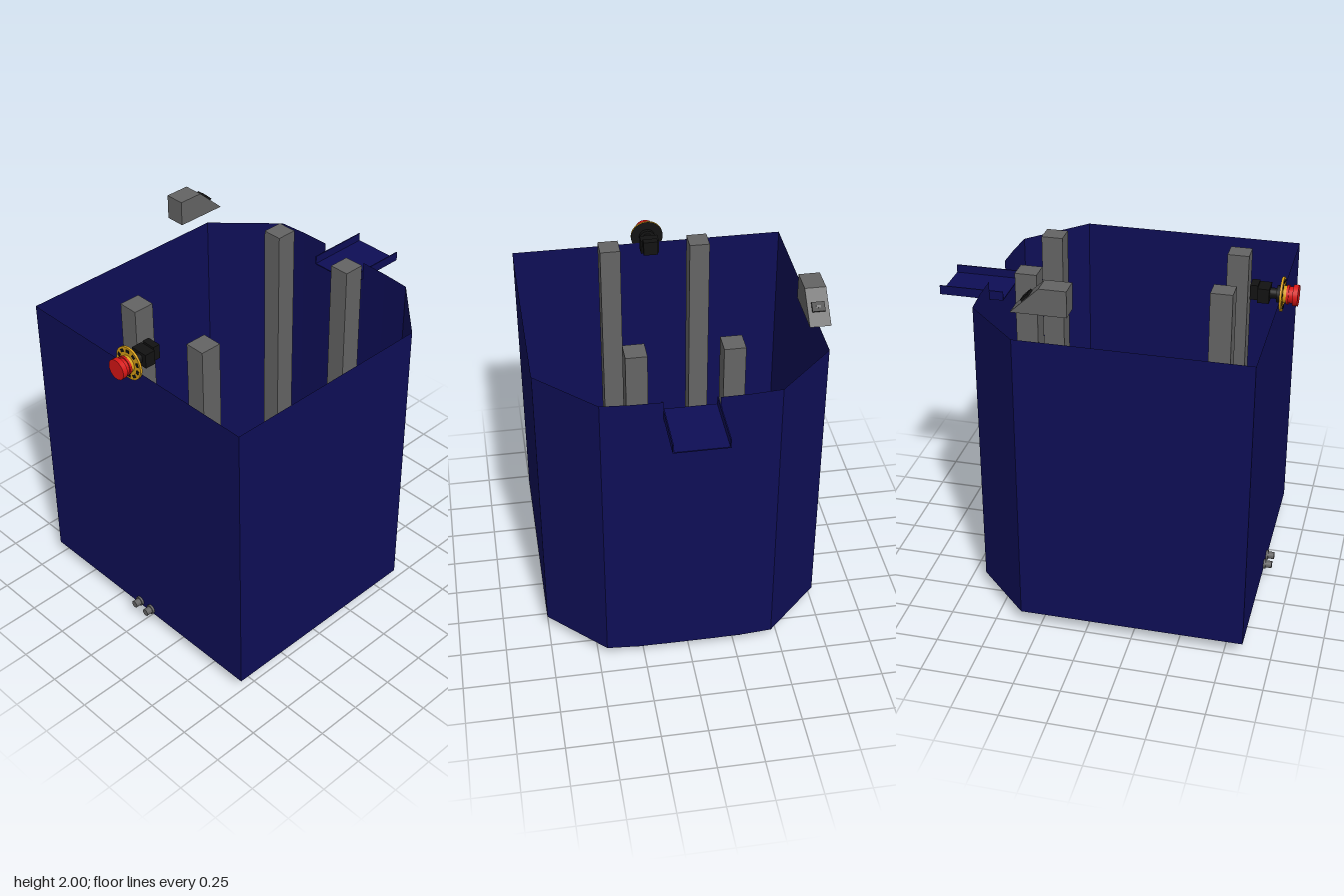
import * as THREE from 'three';

const mat = (name, color, side = THREE.FrontSide) => {
  const m = new THREE.MeshStandardMaterial({ color, side });
  m.name = name;
  return m;
};

export function createModel() {
  const blue = mat('navy sheet', 0x0e0e56, THREE.DoubleSide);
  const grey = mat('grey metal', 0x646464);
  const black = mat('black plastic', 0x121212);
  const red = mat('red plastic', 0xd81616);
  const yellow = mat('yellow plastic', 0xd9a016);
  const root = new THREE.Group();
  root.name = 'cabinet';

  const add = (name, geo, material, x = 0, y = 0, z = 0, parent = root) => {
    const m = new THREE.Mesh(geo, material);
    m.name = name;
    m.position.set(x, y, z);
    parent.add(m);
    return m;
  };
  // box given by its limits
  const box = (name, material, x0, x1, y0, y1, z0, z1, parent) =>
    add(name, new THREE.BoxGeometry(x1 - x0, y1 - y0, z1 - z0), material,
      (x0 + x1) / 2, (y0 + y1) / 2, (z0 + z1) / 2, parent);
  // cylinder along x, from x0 to x1; its top cap faces -x
  const rod = (name, material, x0, x1, r, y, z, parent, sides = 24) => {
    const m = add(name, new THREE.CylinderGeometry(r, r, x1 - x0, sides), material, (x0 + x1) / 2, y, z, parent);
    m.rotation.z = Math.PI / 2;
    return m;
  };

  const floorY = 0.078, top = 1.715, notchY = 1.615;

  // Thin sheet walls, open at the top, with a notch for the chute
  const shell = new THREE.Group();
  shell.name = 'shell';
  root.add(shell);
  const outline = [[0.665, -0.14], [0.662, -0.3], [0.65, -0.455], [0.355, -0.755], [-0.85, -0.755],
    [-0.85, 0.755], [0.355, 0.755], [0.65, 0.455], [0.662, 0.3], [0.665, 0.14], [0.665, -0.14]];
  for (let i = 0; i < outline.length - 1; i++) {
    const [x0, z0] = outline[i], [x1, z1] = outline[i + 1];
    const h = (i === outline.length - 2 ? notchY : top) - floorY;
    const wall = add('wall', new THREE.PlaneGeometry(Math.hypot(x1 - x0, z1 - z0), h), blue,
      (x0 + x1) / 2, floorY + h / 2, (z0 + z1) / 2, shell);
    wall.rotation.y = Math.atan2(z0 - z1, x1 - x0);
  }

  // Floor with four slots
  const floor = new THREE.Shape([[-0.85, -0.755], [0.355, -0.755], [0.65, -0.455], [0.653, -0.3], [0.664, -0.29],
    [0.664, 0.29], [0.653, 0.3], [0.65, 0.455], [0.355, 0.755], [-0.85, 0.755]].map(p => new THREE.Vector2(...p)));
  for (const x of [-0.63, 0.13]) for (const y of [-0.465, 0.345]) {
    floor.holes.push(new THREE.Path([[x, y], [x, y + 0.12], [x + 0.315, y + 0.12], [x + 0.315, y]]
      .map(p => new THREE.Vector2(...p))));
  }
  add('floor', new THREE.ShapeGeometry(floor), blue, 0, floorY, 0, shell).rotation.x = -Math.PI / 2;

  // Chute: a shallow channel through the front wall
  const chute = new THREE.Group();
  chute.name = 'chute';
  root.add(chute);
  box('chuteBase', blue, 0.59, 0.94, 1.615, 1.621, -0.142, 0.142, chute);
  for (const s of [-1, 1]) {
    const lip = box('chuteLip', blue, 0.59, 0.94, 1.615, 1.665, -0.003, 0.003, chute);
    lip.position.z = s * 0.139;
  }

  // Base plate and corner posts
  box('basePlate', grey, -0.655, 0.47, 0.048, 0.083, -0.3, 0.3);
  for (const x of [-0.655, 0.355]) for (const z of [-0.3, 0.19]) {
    box('post', grey, x, x + 0.115, 0.08, 1.855, z, z + 0.11);
  }

  // Castors with a hub and a brake lever
  for (const x of [-0.475, 0.29]) for (const s of [-1, 1]) {
    const foot = new THREE.Group();
    foot.name = 'castor';
    foot.position.set(x, 0, s * 0.31);
    if (s < 0) foot.rotation.y = Math.PI;
    root.add(foot);
    box('bracket', grey, -0.065, 0.065, 0.015, 0.085, 0, 0.018, foot);
    box('axleBlock', grey, -0.045, 0.045, 0.025, 0.06, -0.025, 0.01, foot);
    for (const w of [-0.042, 0.042]) {
      box('toe', grey, w - 0.02, w + 0.02, 0, 0.04, -0.028, 0.018, foot);
    }
    const hub = add('hub', new THREE.CylinderGeometry(0.028, 0.028, 0.012, 20), grey, 0, 0.055, 0.02, foot);
    hub.rotation.x = Math.PI / 2;
    box('lever', grey, -0.008, 0.008, 0.049, 0.059, 0.02, 0.105, foot);
  }

  // Stop button on the right wall
  const stop = new THREE.Group();
  stop.name = 'stopButton';
  stop.position.set(0, 1.75, 0);
  root.add(stop);
  rod('cap', red, -0.945, -0.918, 0.055, 0, 0, stop);
  rod('capNeck', red, -0.918, -0.885, 0.043, 0, 0, stop);
  rod('capCollar', red, -0.897, -0.885, 0.05, 0, 0, stop);
  rod('collar', yellow, -0.885, -0.866, 0.045, 0, 0, stop);
  rod('dial', [yellow, yellow, black], -0.868, -0.856, 0.09, 0, 0, stop, 36);
  for (let i = 0; i < 10; i++) {
    const a = i * Math.PI / 5;
    const tick = box('dialMark', black, -0.871, -0.867, -0.008, 0.008, -0.011, 0.011, stop);
    tick.position.y = 0.07 * Math.cos(a);
    tick.position.z = 0.07 * Math.sin(a);
    tick.rotation.x = a;
  }
  rod('nut', black, -0.856, -0.835, 0.045, 0, 0, stop, 12);
  rod('shaft', black, -0.84, -0.78, 0.028, 0, 0, stop);
  box('contactBlock', black, -0.8, -0.74, -0.04, 0.038, -0.05, 0.05, stop);
  box('contactTail', black, -0.74, -0.7, -0.03, 0.05, -0.04, 0.04, stop);

  // Two connectors low on the same wall
  for (const z of [-0.045, 0.045]) {
    rod('connector', grey, -0.895, -0.845, 0.02, 0.105, z);
    rod('connectorFlange', grey, -0.862, -0.848, 0.027, 0.105, z);
  }

  // Wedge-shaped switch housing above the rear wall
  const profile = new THREE.Shape([[0.07, 1.862], [0.355, 1.862], [0.208, 2], [0.07, 2]]
    .map(p => new THREE.Vector2(...p)));
  add('switchHousing', new THREE.ExtrudeGeometry(profile, { depth: 0.11, bevelEnabled: false }), grey, 0, 0, -0.755);
  const rocker = new THREE.Group();
  rocker.name = 'rockerSwitch';
  rocker.position.set(0.284, 1.934, -0.7);
  rocker.rotation.z = -Math.atan2(0.138, 0.147);
  root.add(rocker);
  box('switchFrame', black, -0.025, 0.025, -0.004, 0.008, -0.033, 0.033, rocker);
  box('switchKey', grey, -0.007, 0.007, 0.006, 0.01, -0.012, 0.012, rocker);
  return root;
}
